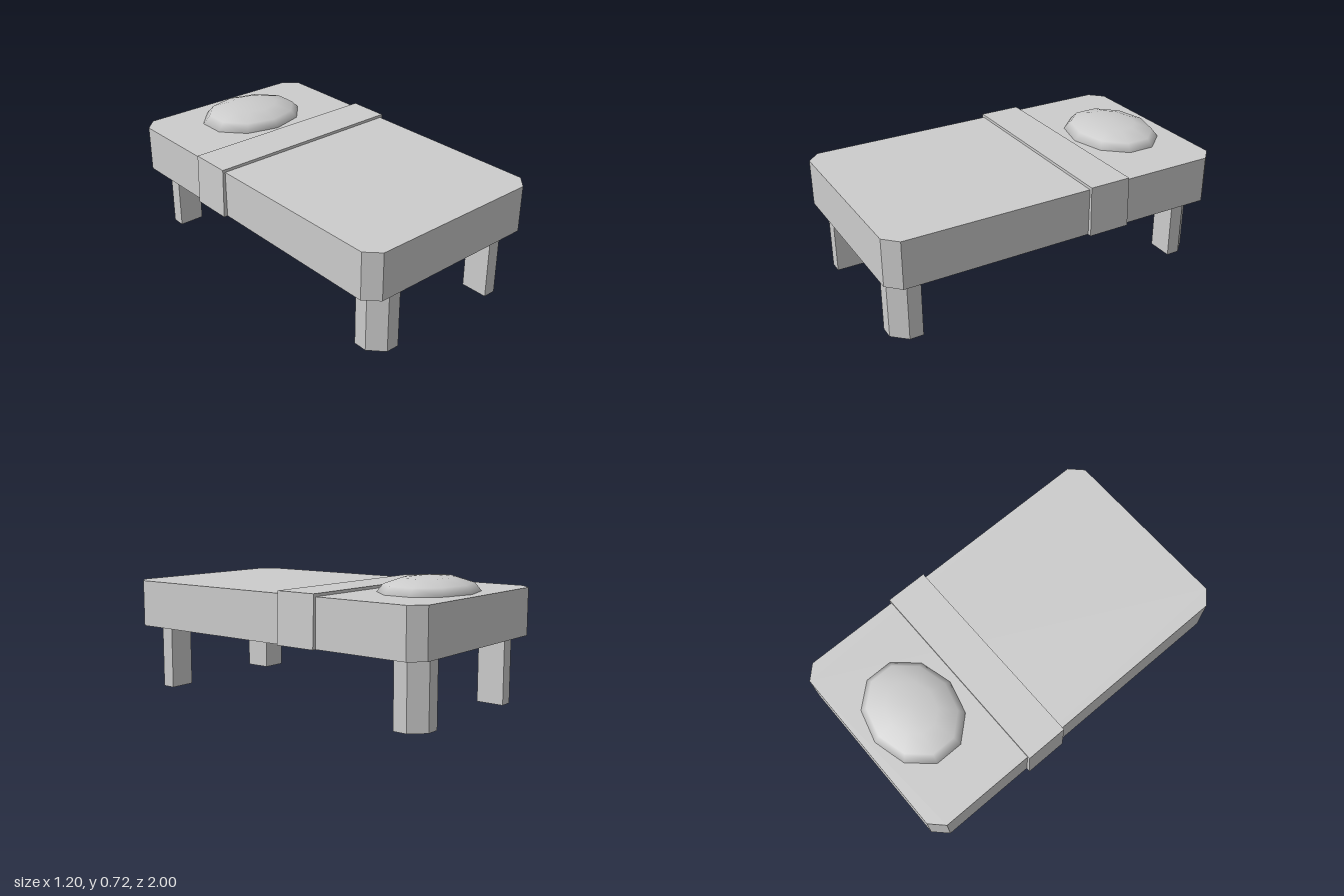
import * as THREE from 'three';

const grey = new THREE.MeshStandardMaterial({ color: 0xcccccc, side: THREE.DoubleSide });
grey.name = 'plain grey';

function add(group, name, geometry) {
  const mesh = new THREE.Mesh(geometry, grey);
  mesh.name = name;
  group.add(mesh);
  return mesh;
}

// Straight prism from an outline of [x, y] points
function prism(points, depth) {
  const shape = new THREE.Shape(points.map(([x, y]) => new THREE.Vector2(x, y)));
  return new THREE.ExtrudeGeometry(shape, { depth, bevelEnabled: false });
}

// Hollow leg: square with its outer corner cut off, open at both ends
function legGeometry(sx, sz) {
  const outline = [[0.333, 0.795], [0.483, 0.795], [0.483, 0.873], [0.408, 0.953], [0.333, 0.953]]
    .map(([x, z]) => [x * sx, z * sz]);
  if (sx * sz > 0) outline.reverse();
  const pos = [];
  outline.forEach(([ax, az], i) => {
    const [bx, bz] = outline[(i + 1) % outline.length];
    const h = 0.37;
    pos.push(ax, 0, az, bx, 0, bz, bx, h, bz, ax, 0, az, bx, h, bz, ax, h, az);
  });
  const geometry = new THREE.BufferGeometry();
  geometry.setAttribute('position', new THREE.Float32BufferAttribute(pos, 3));
  geometry.computeVertexNormals();
  return geometry;
}

export function createModel() {
  const bed = new THREE.Group();
  bed.name = 'bed';

  // Mattress with chamfered corners
  const w = 0.575, l = 1, c = 0.073;
  const slab = prism([
    [w, -l + c], [w, l - c], [w - c, l], [-w + c, l],
    [-w, l - c], [-w, -l + c], [-w + c, -l], [w - c, -l],
  ], 0.266);
  slab.rotateX(-Math.PI / 2);
  add(bed, 'mattress', slab).position.y = 0.37;

  // Folded blanket band, slightly narrower at the top
  const band = prism([[-0.598, 0.37], [0.598, 0.37], [0.59, 0.652], [-0.59, 0.652]], 0.24);
  add(bed, 'blanketBand', band).position.z = -0.385;

  // Soft pillow sunk halfway into the mattress
  const pillow = add(bed, 'pillow', new THREE.SphereGeometry(1, 10, 6, Math.PI / 2));
  pillow.scale.set(0.318, 0.09, 0.256);
  pillow.position.set(0.007, 0.635, -0.685);
  pillow.rotation.z = -0.012;

  // Four legs
  for (const [sx, side] of [[1, 'Left'], [-1, 'Right']]) {
    for (const [sz, end] of [[1, 'front'], [-1, 'back']]) {
      add(bed, `${end}${side}Leg`, legGeometry(sx, sz));
    }
  }
  return bed;
}
